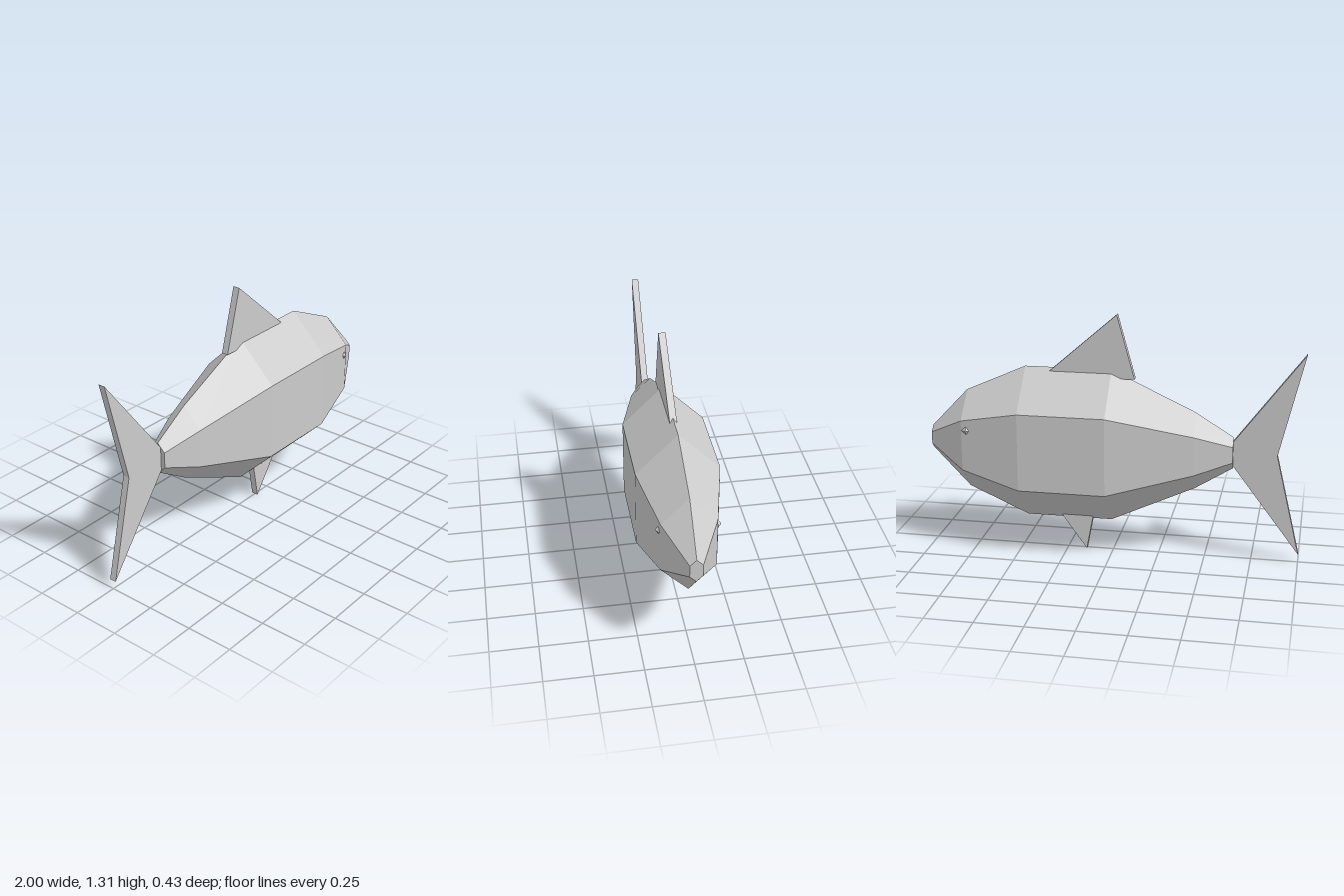
import * as THREE from 'three';

const MID = 0.593; // height of the body axis

function makeMaterial() {
  return new THREE.MeshStandardMaterial({ color: 0xcccccc, flatShading: true });
}

// Hexagonal tube lofted through [x, halfHeight] stations, capped at both ends
function bodyGeometry(stations) {
  const hex = [[1, 0], [0.5, 0.507], [-0.5, 0.507], [-1, 0], [-0.5, -0.507], [0.5, -0.507]];
  const positions = [];
  const index = [];
  for (const [x, h] of stations) {
    for (const [y, z] of hex) positions.push(x, MID + y * h, z * h);
  }
  const n = hex.length;
  for (let s = 0; s < stations.length - 1; s++) {
    for (let i = 0; i < n; i++) {
      const a = s * n + i;
      const b = s * n + (i + 1) % n;
      index.push(a, b, a + n, b, b + n, a + n);
    }
  }
  const last = (stations.length - 1) * n;
  for (let i = 1; i < n - 1; i++) {
    index.push(0, i + 1, i); // tail end
    index.push(last, last + i, last + i + 1); // snout end
  }
  const geometry = new THREE.BufferGeometry();
  geometry.setAttribute('position', new THREE.Float32BufferAttribute(positions, 3));
  geometry.setIndex(index);
  const flat = geometry.toNonIndexed();
  flat.computeVertexNormals();
  return flat;
}

// Flat plate of even thickness from an outline in the xy plane
function finGeometry(points, thickness = 0.037) {
  const shape = new THREE.Shape(points.map(([x, y]) => new THREE.Vector2(x, y)));
  const geometry = new THREE.ExtrudeGeometry(shape, { depth: thickness, bevelEnabled: false });
  return geometry.translate(0, 0, -thickness / 2);
}

export function createModel() {
  const model = new THREE.Group();
  model.name = 'fish';
  const material = makeMaterial();
  const add = (name, geometry) => {
    const mesh = new THREE.Mesh(geometry, material);
    mesh.name = name;
    model.add(mesh);
    return mesh;
  };

  // Body, from tail root to snout
  add('body', bodyGeometry([
    [-0.64, 0.085], [-0.44, 0.21], [0.01, 0.42], [0.475, 0.42], [0.8, 0.275], [1, 0.064],
  ]));

  // Fins, with their roots sunk into the body
  add('tailFin', finGeometry([[-1, 1.14], [-0.87, MID], [-1, 0.05], [-0.59, MID]]));
  add('dorsalFin', finGeometry([[-0.115, 0.97], [0.375, 0.965], [-0.02, 1.31]]));
  add('bellyFin', finGeometry([[0.145, 0], [0.3, 0.215], [0.105, 0.215]]));

  // Eyes
  for (const side of [1, -1]) {
    const eye = add(side > 0 ? 'rightEye' : 'leftEye', new THREE.OctahedronGeometry(0.026));
    eye.position.set(0.77, 0.679, side * 0.143);
    eye.scale.z = 0.75;
  }

  return model;
}
